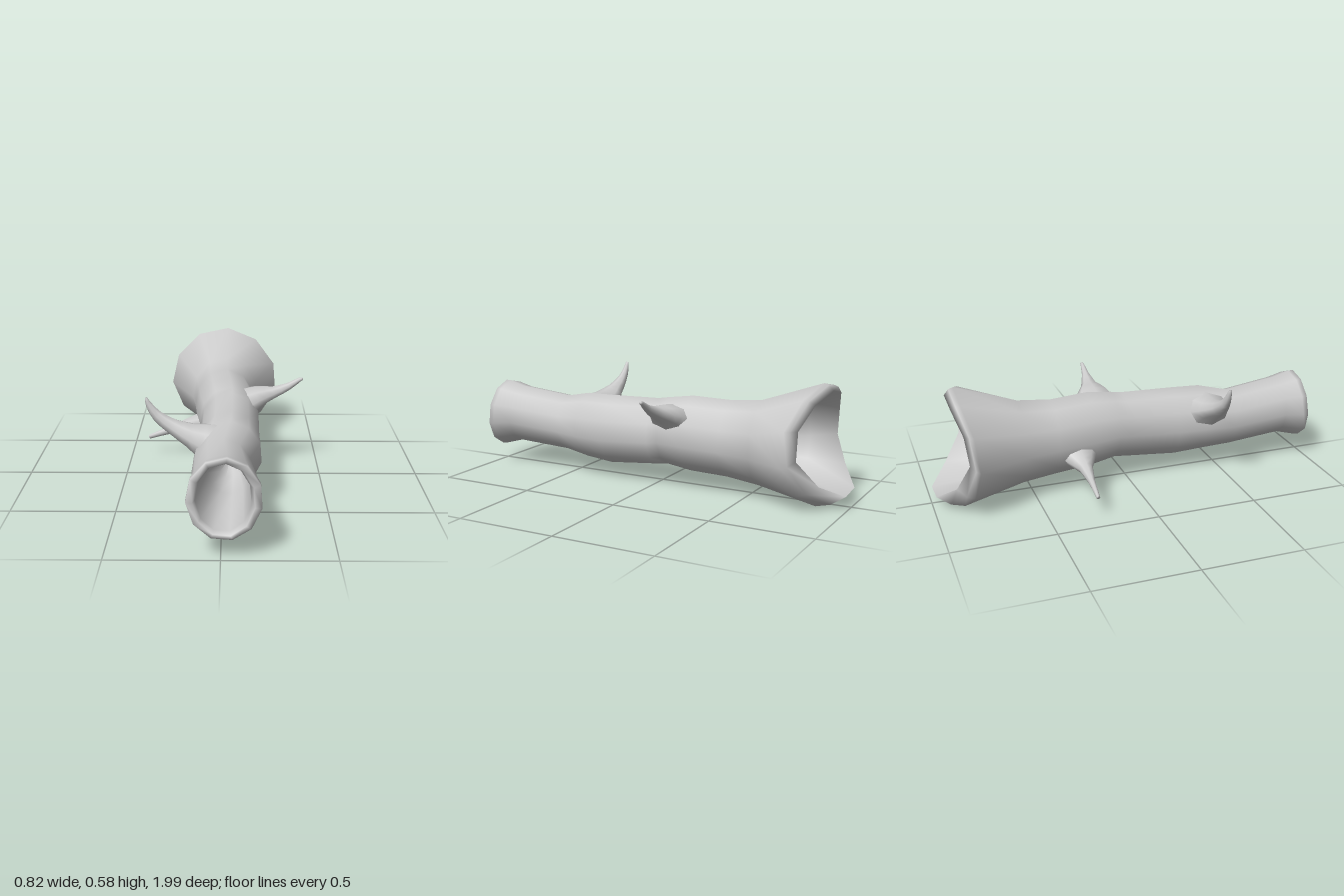
import * as THREE from 'three';

const SIDES = 11;

// Skins a list of rings (each an array of Vector3) with smooth shading.
function loft(rings, name, material) {
  const n = rings[0].length;
  const positions = rings.flat().flatMap((p) => [p.x, p.y, p.z]);
  const index = [];
  for (let r = 0; r < rings.length - 1; r++) {
    for (let i = 0; i < n; i++) {
      const j = (i + 1) % n;
      const a = r * n + i, b = r * n + j, c = a + n, d = b + n;
      index.push(a, c, b, b, c, d);
    }
  }
  const geometry = new THREE.BufferGeometry();
  geometry.setAttribute('position', new THREE.Float32BufferAttribute(positions, 3));
  geometry.setIndex(index);
  geometry.computeVertexNormals();
  const mesh = new THREE.Mesh(geometry, material);
  mesh.name = name;
  return mesh;
}

// Ring across the trunk; z may vary with the sine and cosine of the angle.
function trunkRing([z, cx, cy, rx, ry]) {
  return Array.from({ length: SIDES }, (_, i) => {
    const t = 1.5 + (i / SIDES) * Math.PI * 2;
    const c = Math.cos(t), s = Math.sin(t);
    const depth = typeof z === 'function' ? z(s, c) : z;
    return new THREE.Vector3(cx + rx * c, cy + ry * s, depth);
  });
}

// Tapered branch: stations are [x, y, z, radius in the xy plane, radius along z].
function branch(name, stations, material) {
  const curve = new THREE.CatmullRomCurve3(stations.map((p) => new THREE.Vector3(p[0], p[1], p[2])));
  const steps = (stations.length - 1) * 2, sides = 8;
  const along = new THREE.Vector3(0, 0, 1);
  const rings = [];
  for (let k = 0; k <= steps; k++) {
    const u = k / steps;
    const f = u * (stations.length - 1);
    const lo = Math.min(Math.floor(f), stations.length - 2);
    const mix = (m) => THREE.MathUtils.lerp(stations[lo][m], stations[lo + 1][m], f - lo);
    const center = curve.getPoint(u);
    const tangent = curve.getTangent(u);
    const across = new THREE.Vector3().crossVectors(along, tangent).normalize();
    const ring = (scale) => Array.from({ length: sides }, (_, i) => {
      const t = -(i / sides) * Math.PI * 2;
      return center.clone()
        .addScaledVector(across, Math.cos(t) * mix(3) * scale)
        .addScaledVector(along, Math.sin(t) * mix(4) * scale);
    });
    rings.push(ring(1));
    if (k === steps) rings.push(ring(0)); // closed tip
  }
  // Rings must wind clockwise about the growing direction
  return loft(rings.map((r) => r.reverse()).reverse(), name, material);
}

export function createModel() {
  const group = new THREE.Group();
  group.name = 'hollowLog';
  const wood = new THREE.MeshStandardMaterial({ color: 0xcccccc });

  const frontTilt = (z) => (s) => z - 0.012 * s;
  const backOuter = (s, c) => -0.775 - 0.08 * s * s + 0.025 * c;
  const backInner = (s, c) => -0.82 - (s > 0 ? 0.08 : 0.18) * s * s + 0.02 * c;

  // Front hollow, front rim, bark, flared back rim and back hollow in one skin
  const sections = [
    [0.42, 0.04, 0.25, 0, 0],
    [0.50, 0.04, 0.25, 0.06, 0.07],
    [0.62, 0.03, 0.255, 0.095, 0.11],
    [frontTilt(0.955), 0.012, 0.268, 0.12, 0.148],
    [frontTilt(0.988), 0.014, 0.27, 0.132, 0.158],
    [frontTilt(0.982), 0.015, 0.271, 0.162, 0.18],
    [frontTilt(0.955), 0.015, 0.271, 0.163, 0.178],
    [0.86, 0.015, 0.275, 0.147, 0.152],
    [0.57, 0.0, 0.25, 0.137, 0.146],
    [0.42, 0.028, 0.258, 0.162, 0.17],
    [0.27, 0.037, 0.253, 0.15, 0.179],
    [0.0, 0.037, 0.27, 0.152, 0.17],
    [-0.06, 0.035, 0.279, 0.155, 0.171],
    [-0.19, 0.025, 0.277, 0.166, 0.191],
    [-0.38, 0.008, 0.268, 0.164, 0.193],
    [-0.55, 0.008, 0.266, 0.185, 0.211],
    [backOuter, 0.0, 0.29, 0.306, 0.294],
    [(s, c) => (backOuter(s, c) + backInner(s, c)) / 2, 0.0, 0.295, 0.292, 0.282],
    [backInner, 0.0, 0.305, 0.25, 0.246],
    [-0.72, 0.0, 0.29, 0.2, 0.2],
    [-0.55, 0.01, 0.275, 0.135, 0.145],
    [-0.43, 0.01, 0.27, 0.08, 0.09],
    [-0.36, 0.01, 0.27, 0, 0],
  ];
  group.add(loft(sections.map(trunkRing), 'trunk', wood));

  // Broken branches, flared where they leave the bark
  group.add(branch('upperLeftBranch', [
    [0.1, 0.345, -0.11, 0.085, 0.13],
    [0.18, 0.388, -0.11, 0.055, 0.095],
    [0.26, 0.412, -0.105, 0.032, 0.045],
    [0.34, 0.447, -0.1, 0.019, 0.02],
    [0.395, 0.482, -0.1, 0.011, 0.01],
    [0.41, 0.487, -0.1, 0.007, 0.008],
  ], wood));
  group.add(branch('upperRightBranch', [
    [-0.05, 0.32, 0.43, 0.1, 0.13],
    [-0.15, 0.363, 0.43, 0.055, 0.085],
    [-0.23, 0.402, 0.425, 0.038, 0.045],
    [-0.3, 0.452, 0.42, 0.026, 0.024],
    [-0.338, 0.505, 0.418, 0.015, 0.014],
    [-0.351, 0.538, 0.418, 0.006, 0.008],
  ], wood));
  group.add(branch('lowerRightBranch', [
    [-0.06, 0.205, -0.275, 0.08, 0.12],
    [-0.14, 0.187, -0.275, 0.048, 0.075],
    [-0.21, 0.17, -0.272, 0.034, 0.035],
    [-0.3, 0.143, -0.272, 0.021, 0.017],
    [-0.405, 0.106, -0.272, 0.011, 0.009],
  ], wood));

  return group;
}
